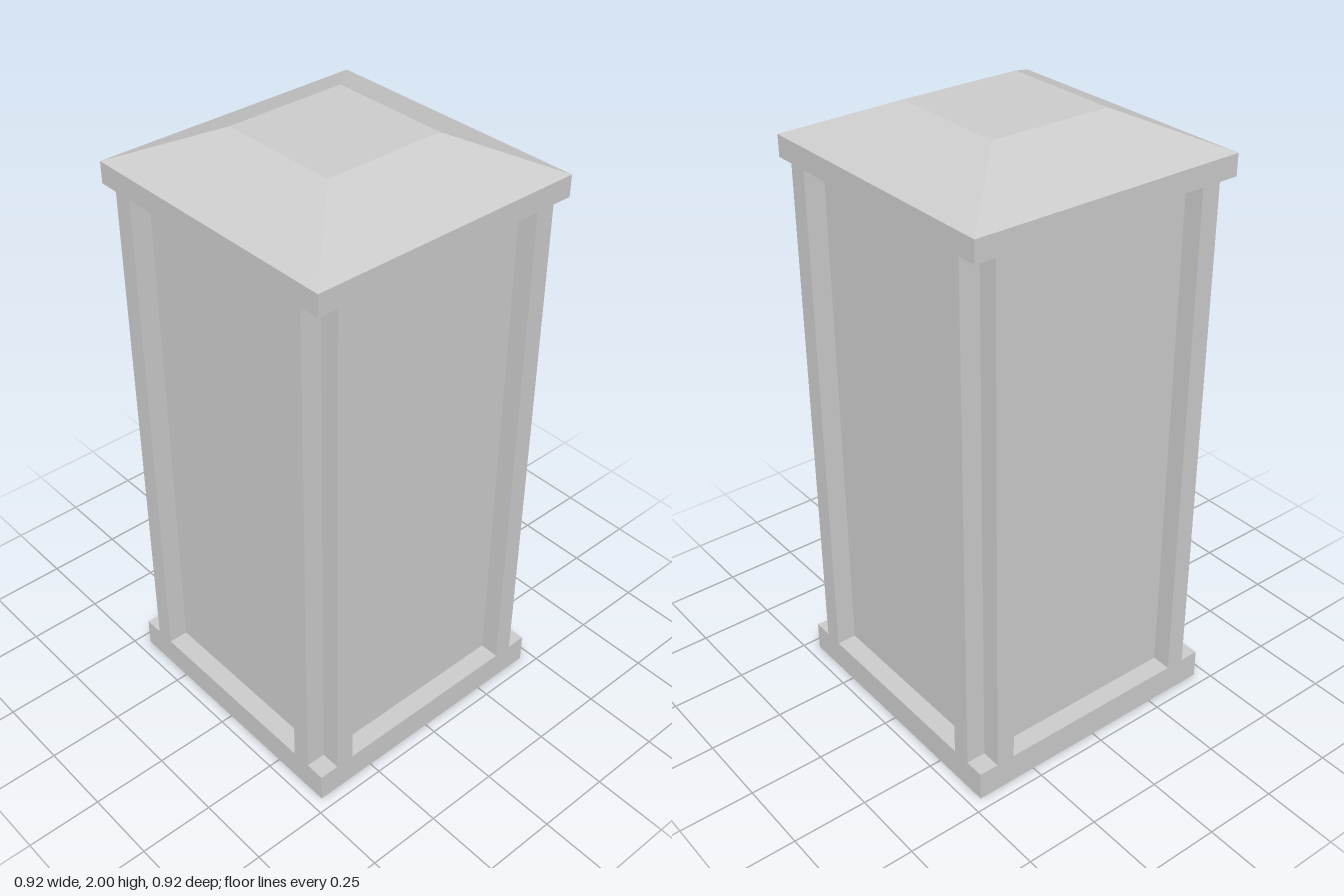
import * as THREE from 'three';

const HALF = 0.46;      // half width of base and cap
const CORE = 0.394;     // half width of the recessed body
const OPEN = 0.33;      // half width of each panel opening
const BASE_TOP = 0.1, CAP_BOTTOM = 1.815, CAP_TOP = 1.884, TOP = 2;

export function createModel() {
  const group = new THREE.Group();
  const material = new THREE.MeshStandardMaterial({ color: 0xcccccc, flatShading: true });

  const add = (name, geometry, x, y, z, parent = group) => {
    const mesh = new THREE.Mesh(geometry, material);
    mesh.name = name;
    mesh.position.set(x, y, z);
    parent.add(mesh);
    return mesh;
  };
  const slab = (name, half, y0, y1) =>
    add(name, new THREE.BoxGeometry(half * 2, y1 - y0, half * 2), 0, (y0 + y1) / 2, 0);

  // Plinth, recessed body and cap band
  slab('base', HALF, 0, BASE_TOP);
  slab('bodyPanels', CORE, BASE_TOP, CAP_BOTTOM);
  slab('capBand', HALF, CAP_BOTTOM, CAP_TOP);

  // Two upright strips on each face, leaving square notches at the corners
  const height = CAP_BOTTOM - BASE_TOP;
  const strip = new THREE.BoxGeometry(CORE - OPEN, height, HALF - CORE);
  for (let i = 0; i < 4; i++) {
    const side = new THREE.Group();
    side.name = 'sideFrame';
    side.rotation.y = i * Math.PI / 2;
    for (const s of [-1, 1]) {
      add('frameStrip', strip, s * (OPEN + CORE) / 2, BASE_TOP + height / 2, (CORE + HALF) / 2, side);
    }
    group.add(side);
  }

  // Hipped roof with a flat top
  const roof = new THREE.CylinderGeometry(0.202 * Math.SQRT2, HALF * Math.SQRT2, TOP - CAP_TOP, 4);
  roof.rotateY(Math.PI / 4);
  add('roof', roof, 0, (TOP + CAP_TOP) / 2, 0);

  return group;
}
